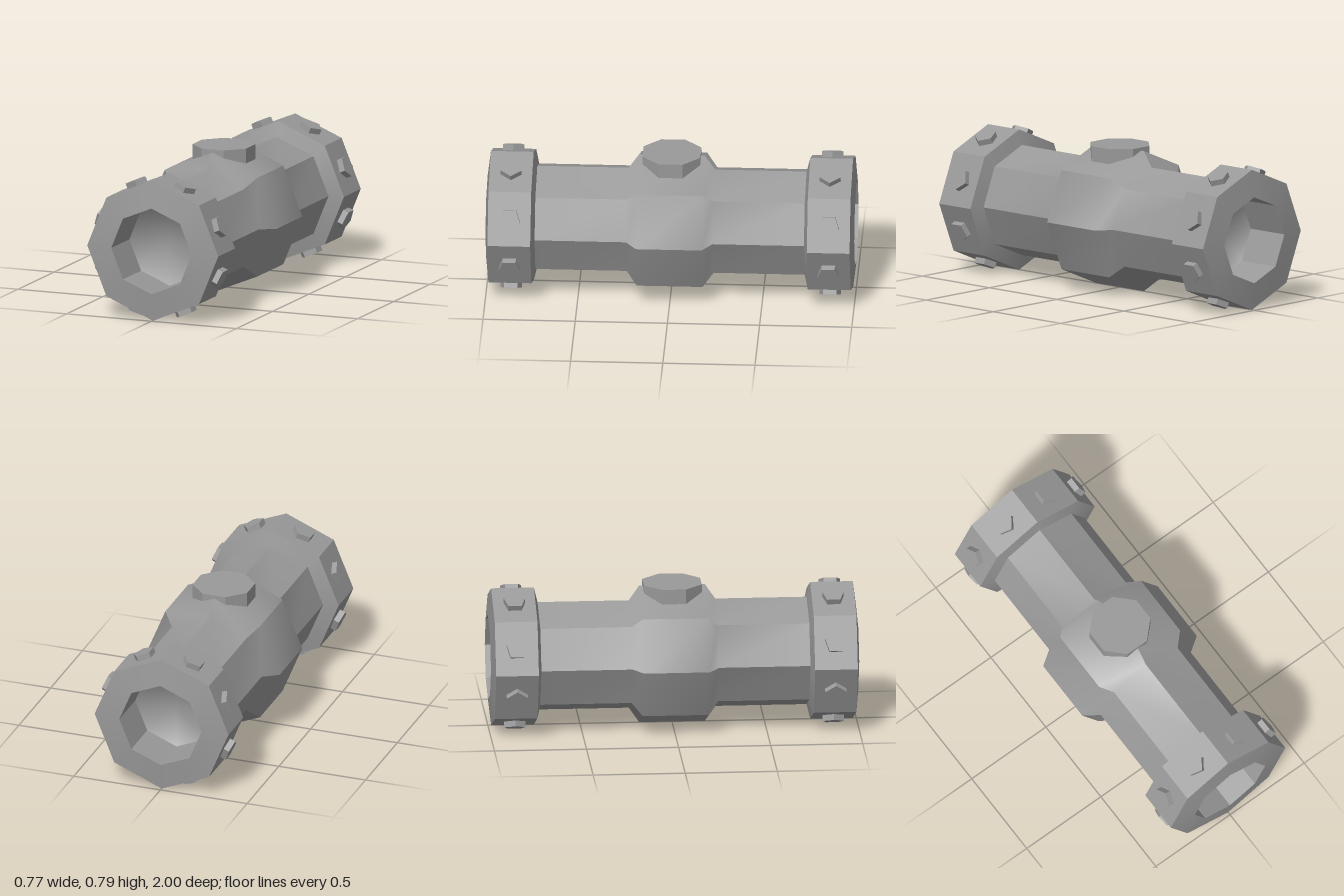
import * as THREE from 'three';
import { mergeGeometries } from 'three/addons/utils/BufferGeometryUtils.js';

const SIDES = 8;
const STEP = (Math.PI * 2) / SIDES;
const OUTER = 0.386;   // corner radius of the flanges and hub
const PIPE = 0.303;    // corner radius of the pipe
const BORE = 0.237;    // corner radius of the end sockets
const FLAT = OUTER * Math.cos(STEP / 2);

const toPoints = (profile) => profile.map(([r, z]) => new THREE.Vector2(r, z));

// Octagonal lathe along z from [radius, z] pairs, shaded softly all round
function softLathe(profile) {
  return new THREE.LatheGeometry(toPoints(profile), SIDES).rotateX(Math.PI / 2);
}

// The same shape with hard edges between its sides, but soft along each side
function facetLathe(profile) {
  const strips = [];
  for (let i = 0; i < SIDES; i++) {
    const strip = new THREE.LatheGeometry(toPoints(profile), 1, i * STEP, STEP);
    strip.computeVertexNormals();
    strips.push(strip);
  }
  return mergeGeometries(strips).rotateX(Math.PI / 2);
}

export function createModel() {
  const model = new THREE.Group();
  model.name = 'pipeCoupling';
  const smooth = new THREE.MeshStandardMaterial({ color: 0x999999 });
  const flat = new THREE.MeshStandardMaterial({ color: 0x999999, flatShading: true });

  const add = (parent, name, geometry, material = smooth) => {
    const mesh = new THREE.Mesh(geometry, material);
    mesh.name = name;
    parent.add(mesh);
    return mesh;
  };

  const pipe = new THREE.Group();
  pipe.name = 'pipe';
  pipe.position.y = 0.387;
  model.add(pipe);

  // Pipe with the raised hub in the middle
  add(pipe, 'pipeBody', facetLathe([
    [PIPE, -0.74], [PIPE, -0.235], [OUTER, -0.178],
    [OUTER, 0.178], [PIPE, 0.235], [PIPE, 0.74],
  ]));

  // Flange surfaces: sloped back, outer wall, end face and socket wall
  const flangeParts = {
    FlangeBack: softLathe([[PIPE - 0.01, 0.728], [OUTER, 0.75]]),
    FlangeWall: facetLathe([[OUTER, 0.75], [OUTER, 0.982]]),
    FlangeFace: softLathe([[OUTER, 0.982], [BORE, 1]]),
    SocketWall: facetLathe([[BORE, 1], [BORE, 0.75]]),
  };

  // Socket floor, shaded softly towards its rim
  const floor = new THREE.CircleGeometry(BORE, SIDES).translate(0, 0, 0.75);
  const pos = floor.attributes.position;
  const n = new THREE.Vector3();
  for (let i = 0; i < pos.count; i++) {
    n.set(-pos.getX(i) / BORE, -pos.getY(i) / BORE, 1).normalize();
    floor.attributes.normal.setXYZ(i, n.x, n.y, n.z);
  }
  flangeParts.SocketFloor = floor;

  // Five-sided bolt head, one per flange face
  const boltGeometry = new THREE.CylinderGeometry(0.061, 0.061, 0.06, 5)
    .rotateY(Math.PI / 2)
    .translate(0, FLAT + 0.002, 0);

  for (const end of [1, -1]) {
    const side = end > 0 ? 'front' : 'back';
    const flange = new THREE.Group();
    flange.name = side + 'Flange';
    flange.rotation.y = end > 0 ? 0 : Math.PI;
    pipe.add(flange);
    for (const [name, geometry] of Object.entries(flangeParts)) {
      add(flange, side + name, geometry);
    }

    const bolts = new THREE.Group();
    bolts.name = side + 'Bolts';
    bolts.position.z = end * 0.865;
    pipe.add(bolts);
    for (let i = 0; i < SIDES; i++) {
      add(bolts, 'bolt', boltGeometry, flat).rotation.z = (i + 0.5) * STEP;
    }
  }

  // Octagonal cap on top of the hub
  const capRadius = 0.157 / Math.cos(STEP / 2);
  const cap = add(model, 'topCap',
    new THREE.CylinderGeometry(capRadius, capRadius, 0.1, SIDES).rotateY(STEP / 2), flat);
  cap.position.y = 0.74;

  return model;
}
